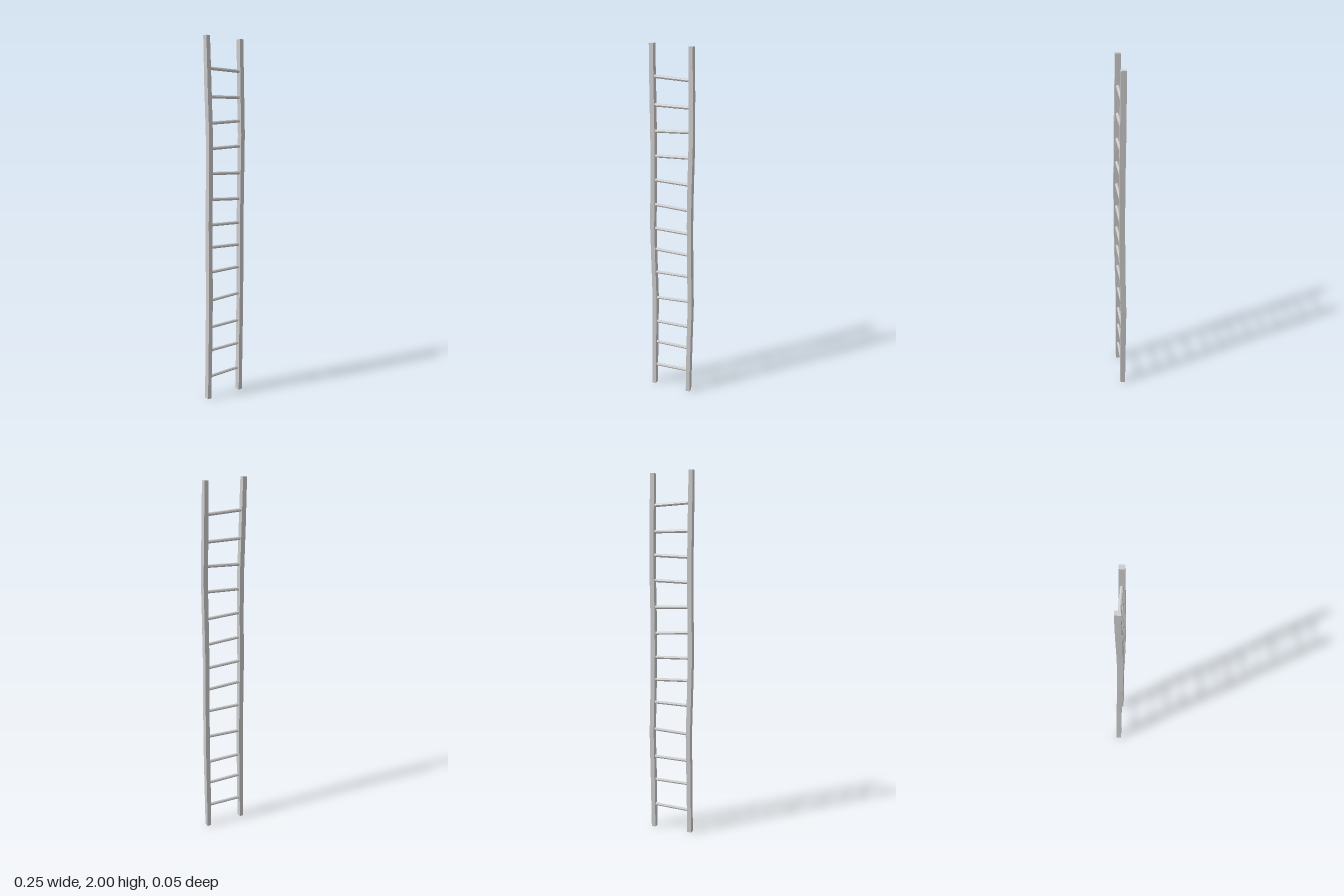
import * as THREE from 'three';

const material = new THREE.MeshStandardMaterial({ color: 0xcccccc, flatShading: true });

// Bent centre lines of the two rails, from foot to top
const leftPath = [
  [0.105, 0, -0.004], [0.108, 0.28, -0.005], [0.113, 0.56, -0.007], [0.109, 0.8, -0.002],
  [0.107, 1.05, 0.001], [0.109, 1.25, 0.002], [0.113, 1.48, 0.001], [0.109, 1.75, -0.003], [0.105, 1.99, -0.004],
];
const rightPath = [
  [-0.116, 0, -0.003], [-0.111, 0.28, -0.002], [-0.106, 0.56, -0.002], [-0.110, 0.8, 0.003],
  [-0.113, 1.0, 0.006], [-0.109, 1.25, 0.007], [-0.107, 1.48, 0.005], [-0.112, 1.75, 0], [-0.116, 2, -0.004],
];

// Rung heights at the right and left rail
const rungs = [
  [0.127, 0.135], [0.281, 0.283], [0.416, 0.420], [0.570, 0.581], [0.732, 0.736], [0.873, 0.865], [0.998, 0.991],
  [1.138, 1.126], [1.278, 1.270], [1.411, 1.419], [1.546, 1.556], [1.685, 1.682], [1.833, 1.821],
];

// Point on a rail's centre line at a given height
function railPoint(path, y) {
  let i = 0;
  while (i < path.length - 2 && path[i + 1][1] < y) i++;
  const a = new THREE.Vector3(...path[i]);
  const b = new THREE.Vector3(...path[i + 1]);
  return a.lerp(b, (y - a.y) / (b.y - a.y));
}

// Square beam whose rings of vertices follow the path
function makeRail(path, name) {
  const n = path.length - 1;
  const geo = new THREE.BoxGeometry(1, n, 1, 1, n, 1);
  const pos = geo.attributes.position;
  for (let i = 0; i < pos.count; i++) {
    const ring = Math.round(pos.getY(i) + n / 2);
    const [x, y, z] = path[ring];
    // Slightly narrower at both ends
    const end = ring === 0 || ring === n;
    pos.setXYZ(i, x + pos.getX(i) * (end ? 0.023 : 0.025), y, z + pos.getZ(i) * (end ? 0.029 : 0.031));
  }
  geo.computeVertexNormals();
  const mesh = new THREE.Mesh(geo, material);
  mesh.name = name;
  return mesh;
}

// Round bar between two points
function makeRung(a, b, name) {
  const dir = b.clone().sub(a);
  const mesh = new THREE.Mesh(new THREE.CylinderGeometry(0.009, 0.009, dir.length(), 8), material);
  mesh.position.copy(a).add(b).multiplyScalar(0.5);
  mesh.quaternion.setFromUnitVectors(new THREE.Vector3(0, 1, 0), dir.normalize());
  mesh.name = name;
  return mesh;
}

export function createModel() {
  const ladder = new THREE.Group();
  ladder.name = 'ladder';
  ladder.add(makeRail(leftPath, 'leftRail'), makeRail(rightPath, 'rightRail'));
  rungs.forEach(([yr, yl], i) => {
    ladder.add(makeRung(railPoint(rightPath, yr), railPoint(leftPath, yl), `rung${i + 1}`));
  });
  return ladder;
}
